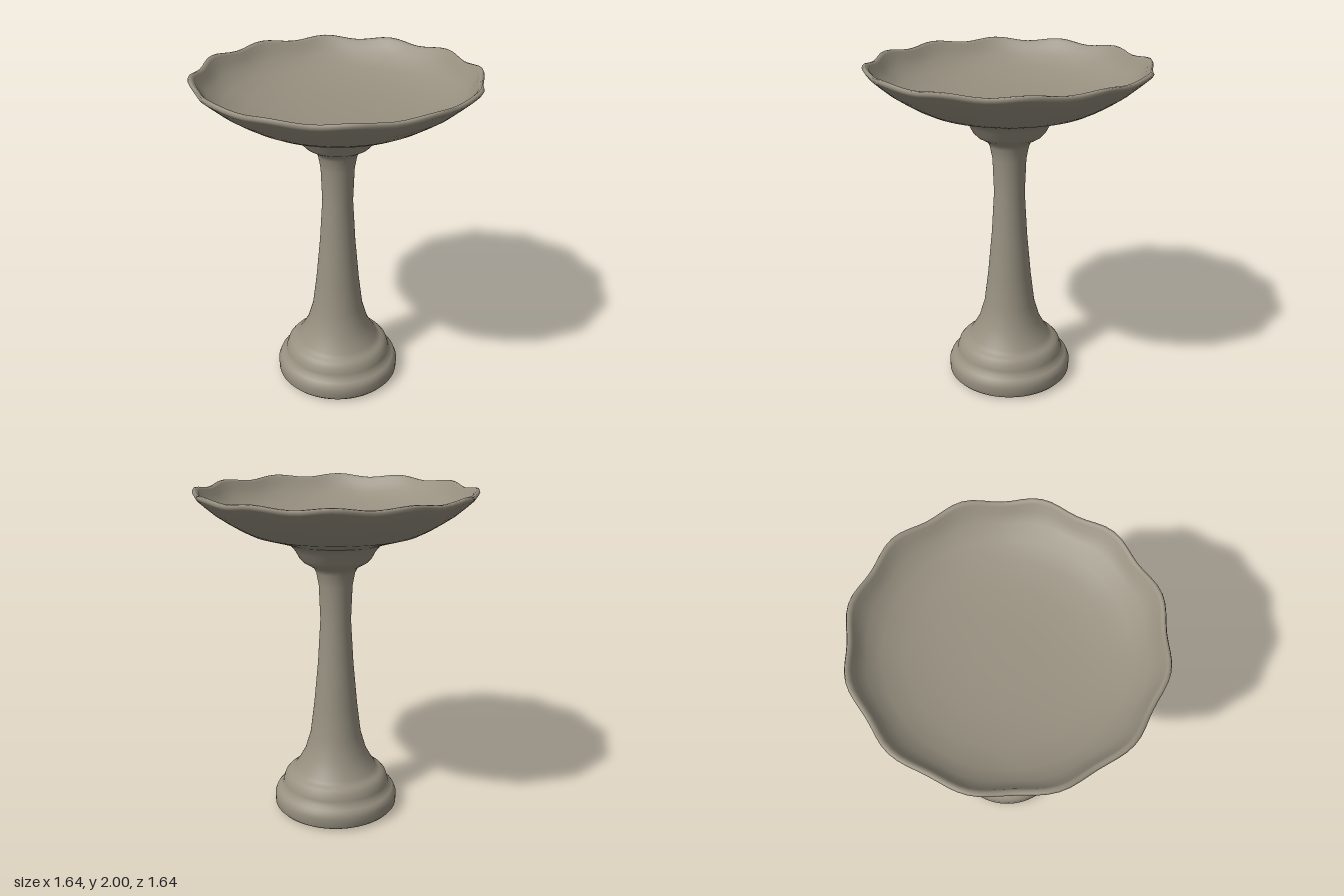
import * as THREE from 'three';
import { mergeVertices } from 'three/addons/utils/BufferGeometryUtils.js';

const LOBES = 12;
const toPoints = (list) => list.map(([r, y]) => new THREE.Vector2(r, y));

// Lathe with its seam welded so that the shading is smooth all round
function turn(profile, deform) {
  const lathe = new THREE.LatheGeometry(toPoints(profile), 96);
  lathe.deleteAttribute('normal');
  lathe.deleteAttribute('uv');
  const geometry = mergeVertices(lathe, 1e-5);
  if (deform) deform(geometry.attributes.position);
  geometry.computeVertexNormals();
  return geometry;
}

// Pull the rim in and down between the lobes, fading towards the middle
function scallop(pos) {
  for (let i = 0; i < pos.count; i++) {
    const x = pos.getX(i), y = pos.getY(i), z = pos.getZ(i);
    const r = Math.hypot(x, z);
    const dip = (1 - Math.cos(LOBES * Math.atan2(z, x))) / 2;
    const w = dip * THREE.MathUtils.smoothstep(r, 0.6, 0.81);
    const s = 1 - 0.029 * w;
    pos.setXYZ(i, x * s, y - 0.019 * w, z * s);
  }
}

export function createModel() {
  const stone = new THREE.MeshStandardMaterial({ color: 0x979080 });
  stone.name = 'stone';
  const model = new THREE.Group();
  model.name = 'birdBath';
  const add = (name, geometry) => {
    const mesh = new THREE.Mesh(geometry, stone);
    mesh.name = name;
    model.add(mesh);
    return mesh;
  };

  // Stepped foot and its flat underside
  add('foot', turn([
    [0.355, 0], [0.37, 0.01], [0.384, 0.026], [0.386, 0.08], [0.375, 0.108],
    [0.36, 0.125], [0.337, 0.14], [0.331, 0.17], [0.32, 0.205], [0.3, 0.228],
    [0.28, 0.238], [0.262, 0.252], [0.25, 0.27],
  ]));
  add('footUnderside', new THREE.CircleGeometry(0.355, 96)).rotation.x = Math.PI / 2;

  // Flared column and the collar that blends into the bowl
  add('column', turn([
    [0.25, 0.27], [0.23, 0.3], [0.192, 0.37], [0.157, 0.49], [0.133, 0.68],
    [0.108, 0.95], [0.092, 1.22], [0.1, 1.43], [0.115, 1.51], [0.13, 1.54],
    [0.19, 1.575], [0.214, 1.6], [0.235, 1.64], [0.262, 1.673], [0.282, 1.689], [0.31, 1.699],
  ]));

  // Shallow bowl: underside, rolled rim, inside
  add('bowl', turn([
    [0.31, 1.699], [0.38, 1.72], [0.5, 1.755], [0.56, 1.785], [0.63, 1.828], [0.7, 1.876], [0.77, 1.935],
    [0.81, 1.97], [0.819, 1.985], [0.813, 1.998], [0.799, 1.999], [0.784, 1.985],
    [0.765, 1.95], [0.72, 1.9], [0.64, 1.848], [0.52, 1.81], [0.35, 1.785], [0.17, 1.777], [0, 1.775],
  ], scallop));

  return model;
}
